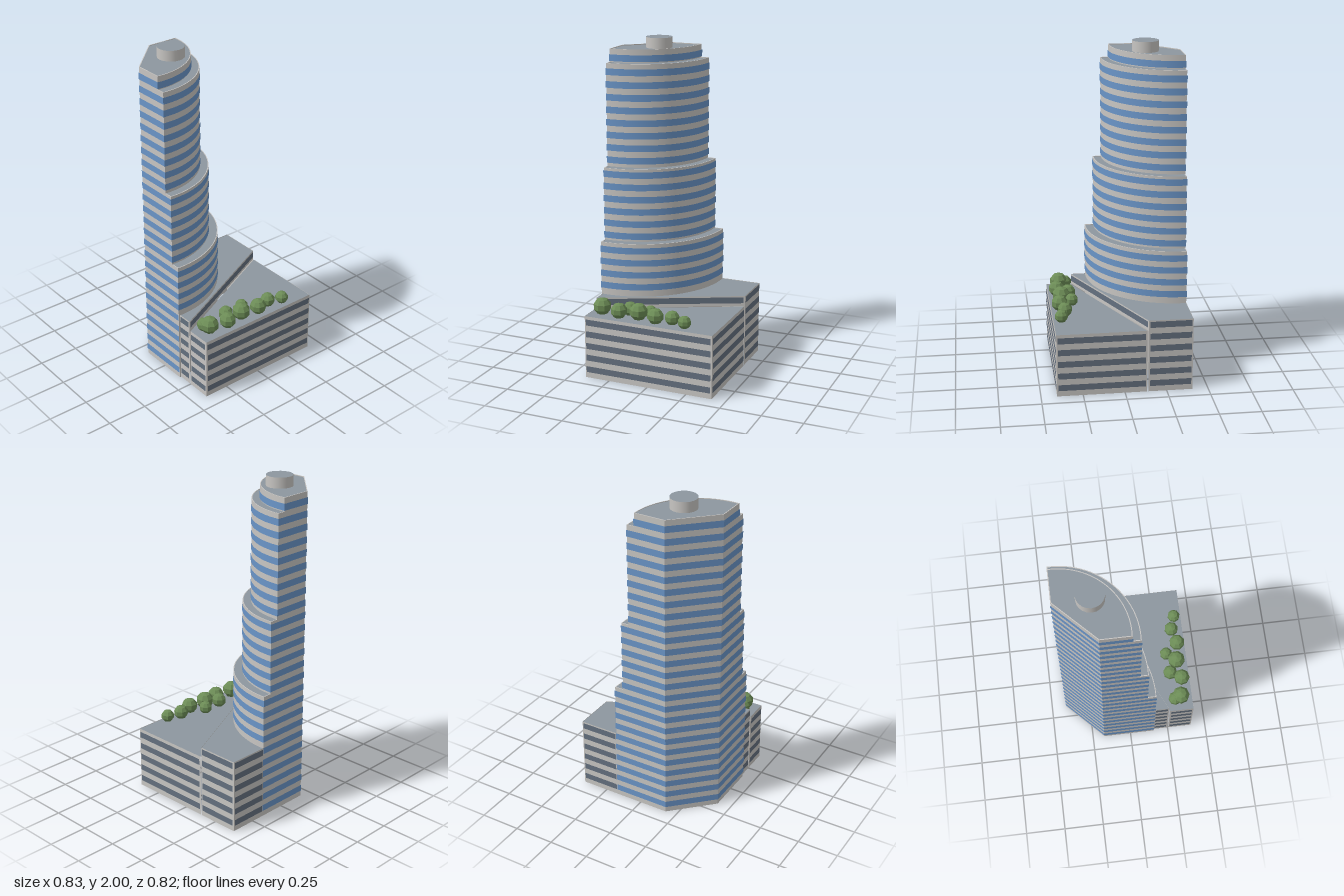
import * as THREE from 'three';
import { toCreasedNormals } from 'three/addons/utils/BufferGeometryUtils.js';

const mat = (name, color, extra = {}) =>
  Object.assign(new THREE.MeshStandardMaterial({ color, ...extra }), { name });

export function createModel() {
  const concrete = mat('concrete', 0xc8c6c3, { side: THREE.DoubleSide });
  const glass = mat('blueGlass', 0x6a95c8);
  const darkGlass = mat('darkGlass', 0x64707f);
  const roofGrey = mat('roofGrey', 0x8d979f, { side: THREE.DoubleSide });
  const leaves = mat('leaves', 0x6c8c56, { flatShading: true });

  const model = new THREE.Group();
  model.name = 'steppedTower';
  const add = (parent, name, geometry, material) => {
    const mesh = new THREE.Mesh(geometry, material);
    mesh.name = name;
    parent.add(mesh);
    return mesh;
  };
  const group = (name) => {
    const g = new THREE.Group();
    g.name = name;
    model.add(g);
    return g;
  };

  // Vertical wall following a plan path of [x, z] points
  const ribbon = (path, y0, y1) => {
    const pos = [];
    for (let i = 0; i < path.length - 1; i++) {
      const [ax, az] = path[i], [bx, bz] = path[i + 1];
      pos.push(ax, y0, az, bx, y1, bz, bx, y0, bz);
      pos.push(ax, y0, az, ax, y1, az, bx, y1, bz);
    }
    const g = new THREE.BufferGeometry();
    g.setAttribute('position', new THREE.Float32BufferAttribute(pos, 3));
    return toCreasedNormals(g, 0.4);
  };

  // Flat horizontal slab facing up, with an optional hole
  const flat = (path, y, hole) => {
    const toV = ([x, z]) => new THREE.Vector2(x, -z);
    const shape = new THREE.Shape(path.map(toV));
    if (hole) shape.holes.push(new THREE.Path(hole.map(toV)));
    return new THREE.ShapeGeometry(shape).rotateX(-Math.PI / 2).translate(0, y, 0);
  };

  // Tower plan: two straight sides, a cut corner and a curved front, grown by o
  const outline = (radius, o = 0) => {
    const cx = -0.38, cz = -0.39, r = radius + o;
    const xL = -0.415 - o, zB = -0.405 - o;
    const a0 = Math.asin((zB - cz) / r), a1 = Math.acos((xL - cx) / r);
    const pts = [[xL, cz + r * Math.sin(a1)], [xL, -0.175 - 0.4 * o], [-0.18 - 0.4 * o, zB]];
    const n = 28;
    for (let i = 0; i <= n; i++) {
      const a = a0 + (a1 - a0) * i / n;
      pts.push([cx + r * Math.cos(a), cz + r * Math.sin(a)]);
    }
    return pts;
  };

  // Tower tiers: radius, bottom, top
  const podiumTop = 0.455, pitch = 0.0763;
  const tiers = [[0.545, 0, 0.785], [0.49, 0.785, 1.235], [0.44, 1.235, 1.86], [0.392, 1.86, 1.94]];
  tiers.forEach(([r, y0, y1], t) => {
    const g = group('towerTier' + (t + 1));
    const plan = outline(r);
    add(g, 'tierWall', ribbon(plan, y0, y1), concrete);
    add(g, 'tierRoof', flat(plan, y1 - 0.006), roofGrey);
    add(g, 'tierRim', flat(plan, y1, outline(r, -0.005)), concrete);
    // Window bands, only on the open sides where the podium wraps the tower
    for (let k = 0; k < 25; k++) {
      const y = 0.055 + pitch * k;
      const b0 = Math.max(y - 0.02, y0 + 0.003), b1 = y + 0.02;
      if (y < y0 || b1 > y1) continue;
      const path = outline(r, 0.003);
      add(g, 'windowBand', ribbon(y < podiumTop ? path.slice(0, 4) : path, b0, b1), glass);
    }
  });

  // Rooftop plant drum
  const drum = group('roofDrum');
  add(drum, 'drumWall', new THREE.CylinderGeometry(0.08, 0.08, 0.064, 20, 1, true), concrete)
    .position.set(-0.178, 1.968, -0.195);
  add(drum, 'drumTop', new THREE.CircleGeometry(0.08, 20).rotateX(-Math.PI / 2), roofGrey)
    .position.set(-0.178, 2, -0.195);

  // Podium wall with recessed-looking window bands
  const facade = (g, a, b, top, bands, first = 0) => {
    add(g, 'podiumWall', ribbon([a, b], first ? 0.39 : 0, top), concrete);
    const dx = b[0] - a[0], dz = b[1] - a[1], len = Math.hypot(dx, dz);
    const nx = dz / len, nz = -dx / len, m = 0.008 / len, o = 0.003;
    const at = (s) => [a[0] + dx * s + nx * o, a[1] + dz * s + nz * o];
    for (let k = first; k < bands; k++) {
      const y = 0.035 + 0.075 * k;
      add(g, 'podiumWindows', ribbon([at(m), at(1 - m)], y, y + 0.038), darkGlass);
    }
  };

  const xL = -0.405, xR = 0.413, zF = 0.405, zB = -0.405;

  // Low front wing
  const front = group('frontWing');
  const lowTop = 0.392;
  facade(front, [xL, zF], [xL, 0.254], lowTop, 5);
  facade(front, [xR, zF], [xL, zF], lowTop, 5);
  facade(front, [xR, -0.131], [xR, zF], lowTop, 5);
  add(front, 'frontRoof', flat([[xL, zF], [xR, zF], [xR, -0.131], [xL, 0.254]], lowTop - 0.002), roofGrey);

  // Higher rear wing with a slanted upper wall
  const rear = group('rearWing');
  facade(rear, [xL, 0.246], [xL, 0.153], podiumTop, 6);
  facade(rear, [0.164, zB], [xR, zB], podiumTop, 6);
  facade(rear, [xR, zB], [xR, -0.14], podiumTop, 6);
  facade(rear, [xR, -0.14], [xL, 0.246], podiumTop, 6, 5);
  add(rear, 'rearRoof', flat([[xL, 0.246], [xR, -0.14], [xR, zB], [-0.175, zB + 0.003],
    [xL, -0.17]], podiumTop - 0.003), roofGrey);

  // Roof garden shrubs: x, z, radius
  const garden = group('roofGarden');
  [[-0.335, 0.293, 0.043], [-0.322, 0.332, 0.056], [-0.202, 0.354, 0.051], [-0.16, 0.285, 0.046],
    [-0.082, 0.335, 0.056], [-0.03, 0.275, 0.041], [0.035, 0.354, 0.051], [0.132, 0.33, 0.046],
    [0.221, 0.358, 0.041]].forEach(([x, z, r], i) => {
    const shrub = add(garden, 'shrub', new THREE.SphereGeometry(r, 8, 5), leaves);
    shrub.position.set(x, 0.392 + r * 0.93, z);
    shrub.scale.y = 0.95;
    shrub.rotation.y = i * 0.7;
  });

  return model;
}
